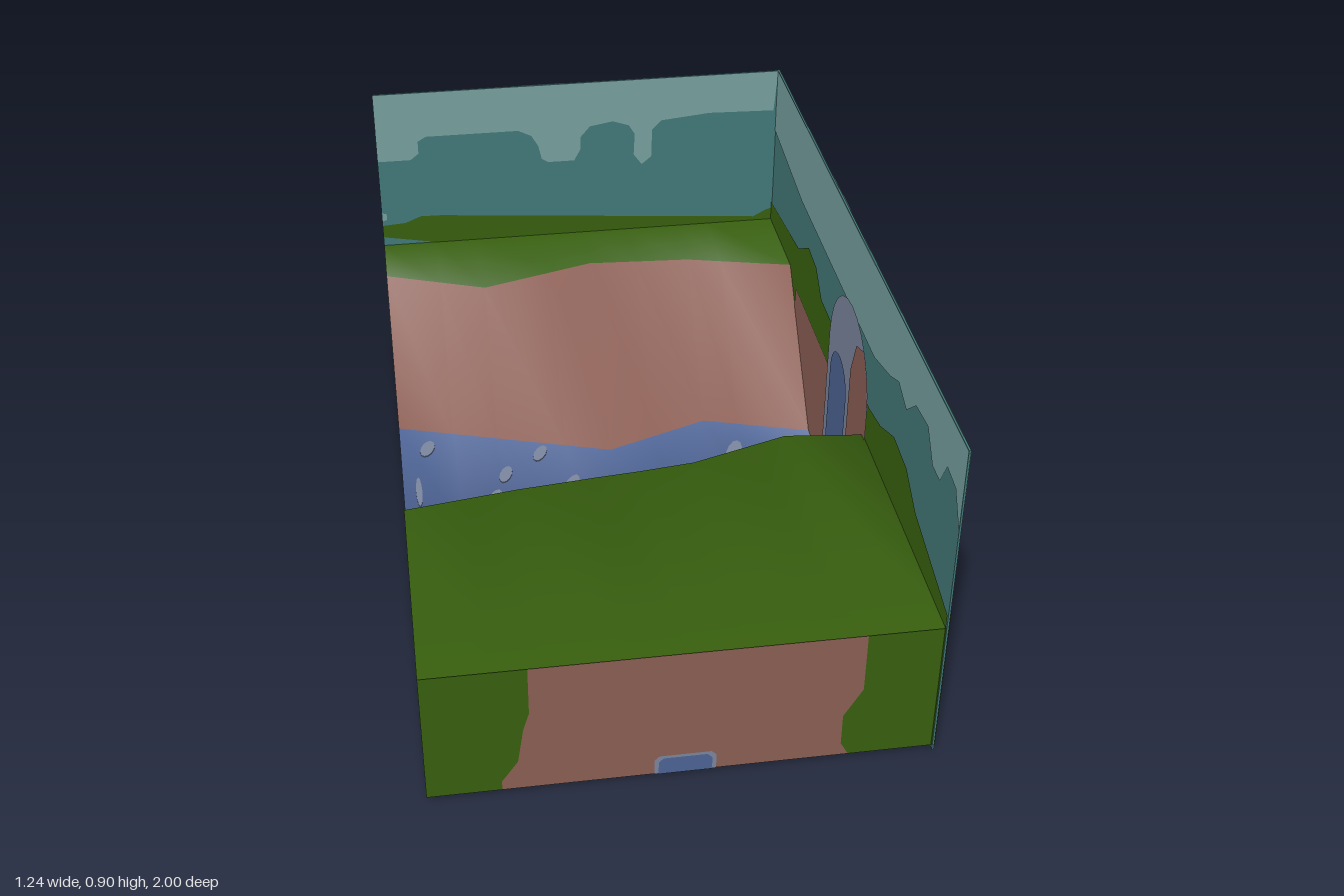
import * as THREE from 'three';

const mat = (name, color) =>
  new THREE.MeshStandardMaterial({ name, color, side: THREE.DoubleSide });

export function createModel() {
  const root = new THREE.Group();
  root.name = 'canyonDiorama';
  const green = mat('grass', 0x38600f), brown = mat('rock', 0x8a5e54);
  const teal = mat('sky', 0x427777), light = mat('paleSky', 0x769f9d);
  const blue = mat('water', 0x4d6394), gray = mat('mist', 0x7a859c);
  const Y0 = 0.013, TOP = 0.39, H = 0.9;

  // A panel is a flat painted surface: u runs right, v runs up, layers stack outward
  function panel(name, x, z, angle) {
    const g = new THREE.Group();
    g.name = name;
    g.position.set(x, 0, z);
    g.rotation.y = angle;
    root.add(g);
    return g;
  }
  function paint(g, name, m, pts, layer = 0, s = 1) {
    const shape = new THREE.Shape(pts.map(([u, v]) => new THREE.Vector2(u * s, v)));
    const mesh = new THREE.Mesh(new THREE.ShapeGeometry(shape), m);
    mesh.name = name;
    mesh.position.z = layer * 0.0012;
    g.add(mesh);
  }
  const rect = (a, b, c, d) => [[a, c], [b, c], [b, d], [a, d]];

  // Two thin backdrop walls
  function wall(name, w, d, x, z) {
    const m = new THREE.Mesh(new THREE.BoxGeometry(w, H, d), teal);
    m.name = name;
    m.position.set(x, H / 2, z);
    root.add(m);
  }
  wall('sideWall', 0.005, 2, 0.6125, 0);
  wall('backWall', 1.235, 0.005, -0.0025, -0.9925);

  // Terrain: rows of z as polylines over x, with smooth normals
  const lerp = (line, x) => {
    for (let i = 1; i < line.length; i++) {
      const [x0, z0] = line[i - 1], [x1, z1] = line[i];
      if (x <= x1) return z0 + (z1 - z0) * (x - x0) / (x1 - x0);
    }
    return line[line.length - 1][1];
  };
  const rows = [
    [TOP, [[-0.62, 1], [0.62, 1]]],
    [TOP, [[-0.62, 0.37], [-0.33, 0.325], [-0.1, 0.3], [0.12, 0.28], [0.4, 0.19], [0.62, 0.215]]],
    [Y0, [[-0.62, 0.05], [-0.46, 0], [-0.13, 0.07], [0.16, 0], [0.62, 0.08]]],
    [Y0, [[-0.62, -0.53], [0, -0.33], [0.3, -0.44], [0.62, -0.34]]],
    [TOP, [[-0.62, -0.8], [-0.33, -0.69], [0, -0.79], [0.3, -0.77], [0.62, -0.69]]],
    [TOP, [[-0.62, -0.99], [0.62, -0.99]]],
  ];
  const xs = [-0.62, -0.46, -0.33, -0.13, 0, 0.14, 0.3, 0.4, 0.61];
  const pos = [], idx = [], n = xs.length;
  rows.forEach(([y, line]) => xs.forEach(x => pos.push(x, y, lerp(line, x))));
  const land = new THREE.BufferGeometry();
  for (let r = 0; r < rows.length - 1; r++) {
    land.addGroup(idx.length, (n - 1) * 6, [0, 1, 2, 1, 0][r]);
    for (let c = 0; c < n - 1; c++) {
      const a = r * n + c, b = a + 1, d = a + n;
      idx.push(a, b, d, b, d + 1, d);
    }
  }
  land.setAttribute('position', new THREE.Float32BufferAttribute(pos, 3));
  land.setIndex(idx);
  land.computeVertexNormals();
  const terrain = new THREE.Mesh(land, [green, brown, blue]);
  terrain.name = 'terrain';
  root.add(terrain);

  // Ripples on the river: x, z, length, width, turn
  [[-0.54, -0.41, 0.08, 0.04, -0.3], [-0.575, -0.2, 0.14, 0.018, 0], [-0.32, -0.25, 0.08, 0.035, -0.3],
    [-0.37, -0.12, 0.13, 0.04, -0.4], [-0.21, -0.34, 0.08, 0.035, -0.4], [-0.14, -0.16, 0.13, 0.04, -0.4],
    [0.01, -0.08, 0.17, 0.035, -0.35], [0.165, -0.12, 0.055, 0.035, -0.4], [0.36, -0.26, 0.13, 0.045, -0.35],
    [0.47, -0.15, 0.16, 0.055, 0], [0.51, -0.03, 0.13, 0.06, 0.4],
  ].forEach(([x, z, len, w, turn]) => {
    const m = new THREE.Mesh(new THREE.CylinderGeometry(0.5, 0.5, 0.005, 12), gray);
    m.name = 'ripple';
    m.scale.set(w, 1, len);
    m.rotation.y = turn;
    m.position.set(x, Y0, z);
    root.add(m);
  });

  // Front face: grass on both sides of a rock centre, with a small pool
  const edgeL = [[-0.44, Y0], [-0.44, 0.04], [-0.4, 0.1], [-0.385, 0.2], [-0.37, 0.25], [-0.37, TOP]];
  const edgeR = [[0.425, TOP], [0.425, 0.22], [0.38, 0.14], [0.38, 0.05], [0.4, Y0]];
  const pool = (r, h) => [[-r, Y0], [r, Y0], [r, h - 0.012], [r - 0.012, h], [0.012 - r, h], [-r, h - 0.012]];
  const front = panel('frontFace', 0, 0.997, 0);
  paint(front, 'leftGrass', green, [[-0.62, Y0], ...edgeL, [-0.62, TOP]]);
  paint(front, 'rockCentre', brown, [...edgeL, ...edgeR]);
  paint(front, 'rightGrass', green, [...edgeR, [0.615, Y0], [0.615, TOP]]);
  for (const side of [-1, 1]) {
    paint(front, 'poolRim', gray, pool(0.075, 0.07), side);
    paint(front, 'pool', blue, pool(0.065, 0.063), side * 2);
  }

  // Open end: cut through both banks
  const end = panel('endFace', -0.62, 0, -Math.PI / 2);
  const cutF = [[0.37, TOP], [0.4, 0.35], [0.48, 0.27], [0.46, 0.18], [0.59, 0.1], [0.6, Y0]];
  const cutB = [[-0.8, TOP], [-0.82, 0.3], [-0.78, 0.18], [-0.75, Y0]];
  paint(end, 'frontBankRock', brown, [[0.05, Y0], ...cutF]);
  paint(end, 'frontBankGrass', green, [...cutF, [1, Y0], [1, TOP]]);
  paint(end, 'backBankRock', brown, [[-0.53, Y0], ...cutB]);
  paint(end, 'backBankGrass', green, [...cutB, [-1, Y0], [-1, TOP]]);

  // Outer scenery shared by both walls, scaled along u
  function scenery(g, s) {
    paint(g, 'paleSky', light, [[-1, H], [-1, 0.765], [-0.75, 0.77], [-0.65, 0.78], [-0.57, 0.8],
      [-0.5, 0.785], [-0.4, 0.765], [0, 0.77], [0.3, 0.77], [0.6, 0.76], [0.7, 0.775], [1, 0.765], [1, H]], 1, s);
    paint(g, 'hills', green, [[-1, Y0], [-1, 0.44], [-0.9, 0.45], [-0.8, 0.5], [-0.75, 0.545], [-0.68, 0.535],
      [-0.6, 0.55], [-0.53, 0.6], [-0.45, 0.64], [-0.39, 0.64], [-0.37, 0.59], [-0.42, 0.535], [-0.5, 0.49],
      [-0.52, 0.455], [-0.48, 0.44], [-0.1, 0.45], [0.1, 0.46], [0.35, 0.46], [0.44, 0.47], [0.45, 0.5],
      [0.36, 0.53], [0.32, 0.58], [0.35, 0.635], [0.41, 0.64], [0.45, 0.61], [0.46, 0.57], [0.65, 0.53],
      [0.8, 0.5], [1, 0.45], [1, Y0]], 1, s);
    paint(g, 'fallRim', gray, rect(0.088, 0.3, 0.775, H), 2, s);
    paint(g, 'fall', blue, rect(0.105, 0.28, 0.785, H), 3, s);
  }

  const side = panel('sideScenery', 0.6152, 0, Math.PI / 2);
  scenery(side, 1);
  paint(side, 'canyon', brown, [[-0.71, Y0], [-0.71, 0.03], [-0.62, 0.07], [-0.5, 0.14], [-0.38, 0.2],
    [-0.3, 0.27], [-0.23, 0.34], [-0.19, 0.32], [0.6, 0.32], [0.67, 0.395], [0.685, 0.39], [0.68, 0.27],
    [0.63, 0.2], [0.61, Y0]], 2);
  paint(side, 'skyGap', teal, [[0.31, 0.325], [0.45, 0.325], [0.45, 0.29], [0.4, 0.27], [0.33, 0.28]], 3);
  paint(side, 'riverRim', gray, [[-0.02, 0.32], [-0.02, 0.27], [0.02, 0.2], [0.04, 0.07], [-0.01, Y0],
    [0.34, Y0], [0.31, 0.08], [0.325, 0.3], [0.29, 0.33], [0.02, 0.33]], 3);
  paint(side, 'river', blue, [[0, 0.3], [0.03, 0.32], [0.27, 0.32], [0.295, 0.3], [0.285, 0.1], [0.3, 0.02],
    [0.08, 0.02], [0.05, 0.06], [0.04, 0.2]], 4);

  const back = panel('backScenery', 0, -0.9952, Math.PI);
  scenery(back, 0.617);
  paint(back, 'rockCentre', brown, [...edgeL, ...edgeR].map(([u, v]) => [u, Math.min(v, 0.38)]), 2);
  paint(back, 'poolRim', gray, pool(0.075, 0.07), 3);
  paint(back, 'pool', blue, pool(0.065, 0.063), 4);

  // Inner face of the back wall: dripping pale sky and a strip of far hills
  const inBack = panel('backWallInside', 0, -0.9898, 0);
  paint(inBack, 'paleSky', light, [[-0.62, H], [-0.62, 0.68], [-0.52, 0.68], [-0.495, 0.7], [-0.495, 0.74],
    [-0.47, 0.755], [-0.19, 0.755], [-0.15, 0.735], [-0.13, 0.7], [-0.12, 0.655], [-0.1, 0.643], [-0.02, 0.643],
    [0, 0.68], [0, 0.72], [0.03, 0.755], [0.1, 0.767], [0.15, 0.75], [0.168, 0.72], [0.165, 0.65], [0.19, 0.615],
    [0.22, 0.64], [0.222, 0.73], [0.25, 0.76], [0.4, 0.775], [0.6, 0.77], [0.61, H]], 1);
  paint(inBack, 'farHills', green, [[-0.62, 0.42], [-0.62, 0.46], [-0.55, 0.465], [-0.5, 0.485], [-0.44, 0.484],
    [0.55, 0.403], [0.59, 0.425], [0.61, 0.43], [0.61, 0.3], [-0.4, 0.38]], 1);
  paint(inBack, 'cloud', light, [[-0.62, 0.475], [-0.605, 0.48], [-0.605, 0.5], [-0.62, 0.505]], 1);

  // Inner face of the side wall: pale sky, hills and a rock arch over the river
  const inSide = panel('sideWallInside', 0.6098, 0, -Math.PI / 2);
  paint(inSide, 'paleSky', light, [[-0.99, H], [-0.99, 0.7], [-0.6, 0.66], [-0.2, 0.66], [0.25, 0.66],
    [0.4, 0.7], [0.47, 0.73], [0.55, 0.7], [0.62, 0.76], [0.72, 0.77], [0.78, 0.7], [0.84, 0.7],
    [0.88, 0.77], [0.95, 0.76], [1, 0.68], [1, H]], 1);
  paint(inSide, 'hills', green, [[-0.99, Y0], [-0.99, 0.45], [-0.6, 0.5], [-0.48, 0.57], [-0.38, 0.56],
    [-0.3, 0.5], [0.25, 0.5], [0.36, 0.52], [0.48, 0.57], [0.6, 0.56], [0.7, 0.5], [1, 0.43], [1, Y0]], 2);
  paint(inSide, 'canyon', brown, [[-0.65, Y0], [-0.6, 0.36], [0.2, 0.36], [0.55, Y0]], 3);
  const arch = (c, r, top) => {
    const pts = [[c - r, Y0], [c + r, Y0]];
    for (let i = 0; i <= 12; i++) {
      const t = Math.PI * i / 12;
      pts.push([c + r * Math.cos(t), top - r * (1 - Math.sin(t))]);
    }
    return pts;
  };
  paint(inSide, 'arch', gray, arch(0.03, 0.21, 0.68), 4);
  paint(inSide, 'archRock', brown, [[0.06, Y0], [0.06, 0.5], [0.1, 0.6], [0.17, 0.625], [0.22, 0.56],
    [0.24, 0.47], [0.24, Y0]], 5);
  paint(inSide, 'waterfall', blue, arch(-0.05, 0.09, 0.47), 6);
  return root;
}
